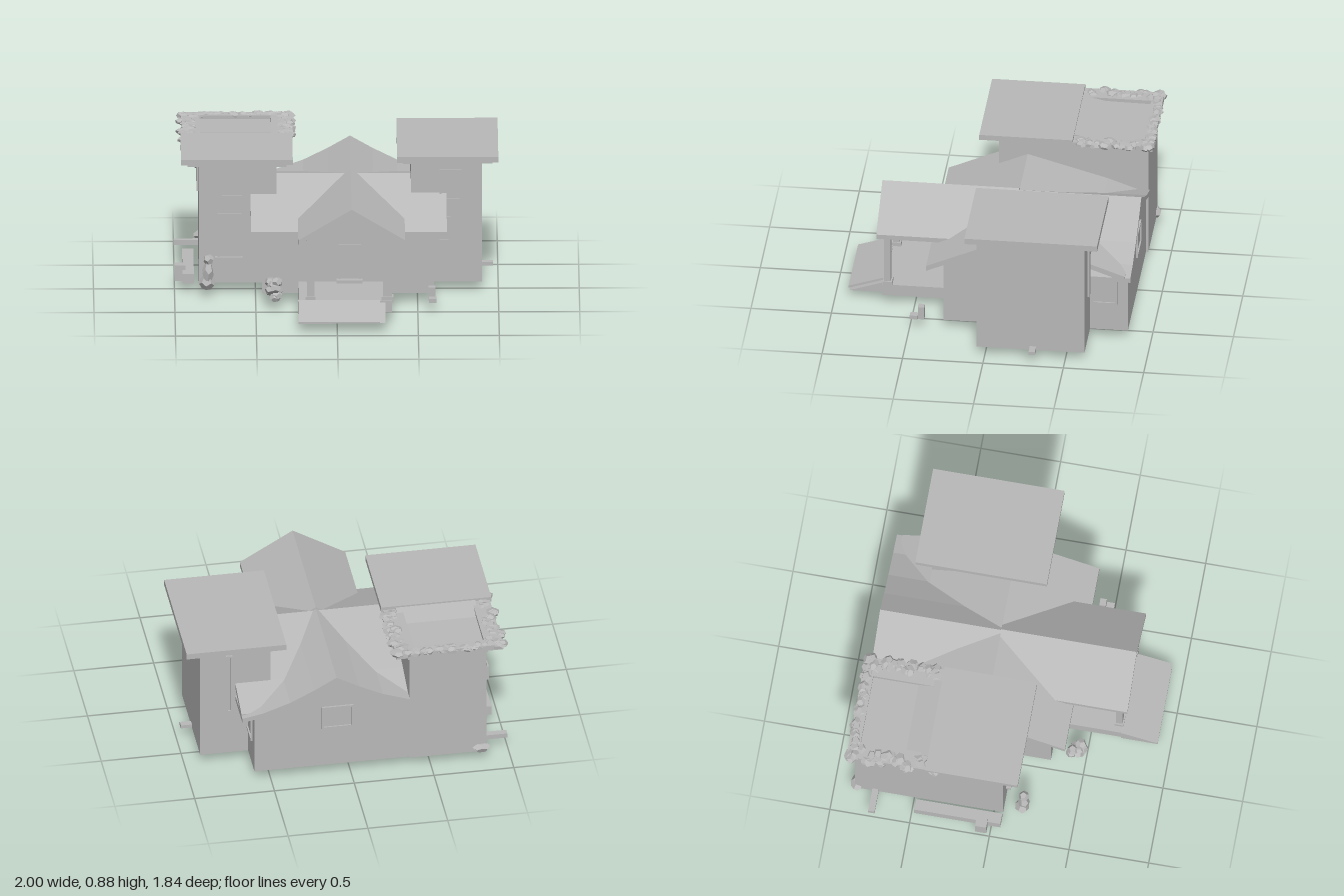
import * as THREE from 'three';

export function createModel() {
  const model = new THREE.Group();
  const stone = new THREE.MeshStandardMaterial({ color: 0xb8b8b8 });
  stone.name = 'pale grey';

  const add = (name, geo, parent = model) => {
    const m = new THREE.Mesh(geo, stone);
    m.name = name;
    parent.add(m);
    return m;
  };
  // box given by its limits on each axis
  const block = (name, x0, x1, y0, y1, z0, z1) => {
    const g = new THREE.BoxGeometry(x1 - x0, y1 - y0, z1 - z0);
    g.translate((x0 + x1) / 2, (y0 + y1) / 2, (z0 + z1) / 2);
    return add(name, g);
  };
  const outline = (pts) => new THREE.Shape(pts.map(([a, b]) => new THREE.Vector2(a, b)));
  // (x, y) section pushed along z
  const alongZ = (name, pts, z0, z1) => {
    const g = new THREE.ExtrudeGeometry(outline(pts), { depth: z1 - z0, bevelEnabled: false });
    return add(name, g.translate(0, 0, z0));
  };
  // (z, y) section pushed along x
  const alongX = (name, pts, x0, x1) => {
    const g = new THREE.ExtrudeGeometry(outline(pts), { depth: x1 - x0, bevelEnabled: false });
    return add(name, g.rotateY(-Math.PI / 2).translate(x1, 0, 0));
  };
  // roof sheet: a top line and the same line lowered
  const sheet = (pts, t) => [...pts, ...pts.map(([a, b]) => [a, b - t]).reverse()];

  let seed = 11;
  const rand = () => (seed = (seed * 16807) % 2147483647) / 2147483647;
  const rock = (name, x, y, z, rx, ry, rz) => {
    const g = new THREE.DodecahedronGeometry(1, 0);
    g.rotateX(rand() * 3).rotateY(rand() * 3).scale(rx, ry, rz).translate(x, y, z);
    return add(name, g);
  };

  // window: raised surround and thin pane, turned to face out of a wall
  const windowOn = (name, w, h, x, y, z, turn) => {
    const group = new THREE.Group();
    group.name = name;
    const s = outline([[-w / 2, -h / 2], [w / 2, -h / 2], [w / 2, h / 2], [-w / 2, h / 2]]);
    const a = w / 2 - 0.013, b = h / 2 - 0.013;
    s.holes.push(outline([[-a, -b], [-a, b], [a, b], [a, -b]]));
    add('surround', new THREE.ExtrudeGeometry(s, { depth: 0.012, bevelEnabled: false }), group);
    add('pane', new THREE.BoxGeometry(2 * a, 2 * b, 0.006), group);
    group.position.set(x, y, z);
    group.rotation.y = turn;
    model.add(group);
  };

  // skirt walls around the hollow underside
  const floorY = 0.125;
  const footprint = [[-0.85, -0.87], [-0.37, -0.87], [-0.37, -0.855], [0.6, -0.855], [0.6, -0.62], [0.9, -0.62],
    [0.9, 0.05], [0.6, 0.05], [0.6, 0.29], [-0.46, 0.29], [-0.46, 0.06], [-0.85, 0.06]];
  const skirt = outline(footprint.map(([x, z]) => [x, -z]));
  const inset = 0.012;
  skirt.holes.push(outline([[-0.85 + inset, 0.87 - inset], [-0.37 - inset, 0.87 - inset], [-0.37 - inset, 0.855 - inset],
    [0.6 - inset, 0.855 - inset], [0.6 - inset, 0.62 - inset], [0.9 - inset, 0.62 - inset], [0.9 - inset, -0.05 + inset],
    [0.6 - inset, -0.05 + inset], [0.6 - inset, -0.29 + inset], [-0.46 + inset, -0.29 + inset],
    [-0.46 + inset, -0.06 + inset], [-0.85 + inset, -0.06 + inset]]));
  const skirtGeo = new THREE.ExtrudeGeometry(skirt, { depth: floorY - 0.065, bevelEnabled: false });
  add('wallSkirt', skirtGeo.rotateX(-Math.PI / 2).translate(0, 0.065, 0));

  // main hall walls
  block('hallWalls', -0.46, 0.6, floorY, 0.49, -0.85, 0.29);
  alongX('hallGableFill', [[0.29, 0.48], [-0.12, 0.67], [-0.62, 0.54], [-0.84, 0.45]], -0.46, 0.6);

  // cross roof with its ridge running side to side
  alongX('crossRoof', sheet([[0.39, 0.49], [-0.12, 0.715], [-0.62, 0.575], [-0.845, 0.495]], 0.035), -0.53, 0.68);

  // rear roof with sweeping eaves, ridge running front to back
  const half = [[0, 0.725], [0.14, 0.645], [0.29, 0.57], [0.46, 0.51], [0.59, 0.485]];
  const sweep = [...half.slice(0, 4).map(([d, y]) => [0.09 - d, y]).reverse(), ...half.slice(1).map(([d, y]) => [0.09 + d, y])];
  alongZ('rearRoof', sheet(sweep, 0.03), -0.88, -0.1);
  const infill = sweep.map(([x, y]) => [Math.min(0.6, x), y - 0.015]);
  alongZ('rearGableWall', [[0.6, floorY], ...infill.reverse(), [-0.37, floorY]], -0.855, -0.15);

  // porch roof and pediment
  alongZ('porchRoof', sheet([[-0.24, 0.54], [0.09, 0.738], [0.42, 0.54]], 0.03), -0.12, 0.73);
  alongZ('porchPediment', [[-0.19, 0.505], [0.35, 0.505], [0.35, 0.56], [0.09, 0.715], [-0.19, 0.55]], 0.2, 0.69);

  // porch posts, floor and entry ramp
  for (const [x0, x1] of [[-0.185, -0.14], [0.285, 0.34]]) {
    block('porchPost', x0, x1, 0.13, 0.52, 0.65, 0.69);
    block('postFoot', x0 - 0.01, x1 + 0.008, 0.13, 0.165, 0.64, 0.698);
    block('wallPost', x0, x1, 0.1, 0.5, 0.28, 0.305);
  }
  block('porchFloor', -0.235, 0.34, floorY, 0.14, 0.28, 0.7);
  block('porchSkirt', -0.235, -0.22, 0.065, floorY, 0.29, 0.7);
  block('porchSkirt', 0.325, 0.34, 0.065, floorY, 0.29, 0.7);
  block('porchSkirt', -0.22, 0.325, 0.065, floorY, 0.685, 0.7);
  alongX('entryRamp', [[0.69, 0.06], [0.92, 0.06], [0.92, 0.072], [0.7, 0.145], [0.69, 0.145]], -0.24, 0.265);
  alongX('rampSide', [[0.69, 0.06], [0.91, 0.06], [0.7, 0.13], [0.69, 0.13]], 0.258, 0.298);

  // doorway
  windowOn('door', 0.14, 0.24, 0.08, 0.26, 0.291, 0);
  block('doorStep', 0.0, 0.16, 0.13, 0.16, 0.29, 0.33);

  // right tower
  block('rightTower', 0.46, 0.9, floorY, 0.86, -0.62, 0.05);
  block('rightTowerCornice', 0.41, 0.965, 0.835, 0.855, -0.67, 0.08);
  block('rightTowerRoof', 0.375, 1.0, 0.852, 0.89, -0.71, 0.115);

  // left tower, roofed in front and open with a parapet behind
  block('leftTower', -0.85, -0.37, floorY, 0.84, -0.87, 0.06);
  block('leftTowerCornice', -0.92, -0.31, 0.835, 0.86, -0.42, 0.14);
  block('leftTowerRoof', -0.96, -0.27, 0.855, 0.89, -0.41, 0.17);
  alongX('terraceFloor', [[-0.87, 0.8], [-0.4, 0.8], [-0.4, 0.882], [-0.55, 0.85], [-0.87, 0.845]], -0.86, -0.36);

  // crumbling parapet
  block('parapet', -0.95, -0.84, 0.835, 0.87, -0.9, -0.36);
  block('parapet', -0.4, -0.28, 0.835, 0.87, -0.9, -0.41);
  block('parapet', -0.95, -0.28, 0.835, 0.87, -0.905, -0.835);
  const rubble = (x, z) =>
    rock('parapetRubble', x + (rand() - 0.5) * 0.07, 0.856 + rand() * 0.008, z + (rand() - 0.5) * 0.03,
      0.035 + rand() * 0.015, 0.016 + rand() * 0.008, 0.03 + rand() * 0.01);
  for (let i = 0; i < 22; i++) {
    const t = i / 21;
    rubble(-0.915, -0.87 + t * 0.53);
    rubble(-0.315, -0.87 + t * 0.43);
    rubble(-0.92 + t * 0.6, -0.88);
  }

  // windows
  windowOn('leftTowerUpperWindow', 0.15, 0.22, -0.645, 0.725, 0.061, 0);
  windowOn('leftTowerLowerWindow', 0.15, 0.29, -0.66, 0.365, 0.061, 0);
  block('windowSill', -0.75, -0.58, 0.21, 0.235, 0.05, 0.09);
  windowOn('rightTowerUpperWindow', 0.135, 0.2, 0.705, 0.69, 0.051, 0);
  windowOn('rightTowerLowerWindow', 0.08, 0.16, 0.665, 0.405, 0.051, 0);
  windowOn('rightTowerRearSlit', 0.04, 0.42, 0.72, 0.58, -0.621, Math.PI);
  windowOn('hallRearWindow', 0.2, 0.16, 0.08, 0.42, -0.856, Math.PI);
  windowOn('hallSideWindow', 0.16, 0.21, 0.601, 0.355, -0.71, Math.PI / 2);
  for (const z of [-0.15, -0.35])
    windowOn('leftTowerSideSlit', 0.05, 0.2, -0.851, 0.7, z, -Math.PI / 2);

  // garden figure, shrub, stump and loose stones
  rock('figureBase', -0.8, 0.1, 0.17, 0.05, 0.05, 0.045);
  rock('figureBody', -0.795, 0.165, 0.18, 0.037, 0.07, 0.037);
  rock('figureHead', -0.79, 0.25, 0.18, 0.033, 0.035, 0.033);
  for (let i = 0; i < 9; i++)
    rock('shrub', -0.39 + (rand() - 0.5) * 0.07, 0.09 + i * 0.0125, 0.44 + (rand() - 0.5) * 0.07, 0.035, 0.03, 0.035);
  block('stump', 0.565, 0.61, 0.065, 0.15, 0.41, 0.45);
  block('stumpFoot', 0.57, 0.615, 0.065, 0.09, 0.45, 0.5);
  block('sideBench', -1.0, -0.93, 0.05, 0.15, -0.09, -0.02);
  block('sideBench', -0.95, -0.88, 0.06, 0.12, -0.48, 0.06);
  block('rearStone', -1.0, -0.84, 0.07, 0.1, -0.76, -0.72);
  rock('sideVent', -0.86, 0.6, -0.7, 0.025, 0.03, 0.03);
  rock('cornerRubble', -0.82, 0.09, -0.86, 0.06, 0.035, 0.04);
  rock('looseStone', -0.66, 0.04, -0.67, 0.08, 0.04, 0.05);
  rock('looseStone', 0.79, 0.06, -0.1, 0.04, 0.02, 0.07);
  block('drainSpout', 0.89, 0.97, 0.068, 0.09, -0.32, -0.28);

  return model;
}
